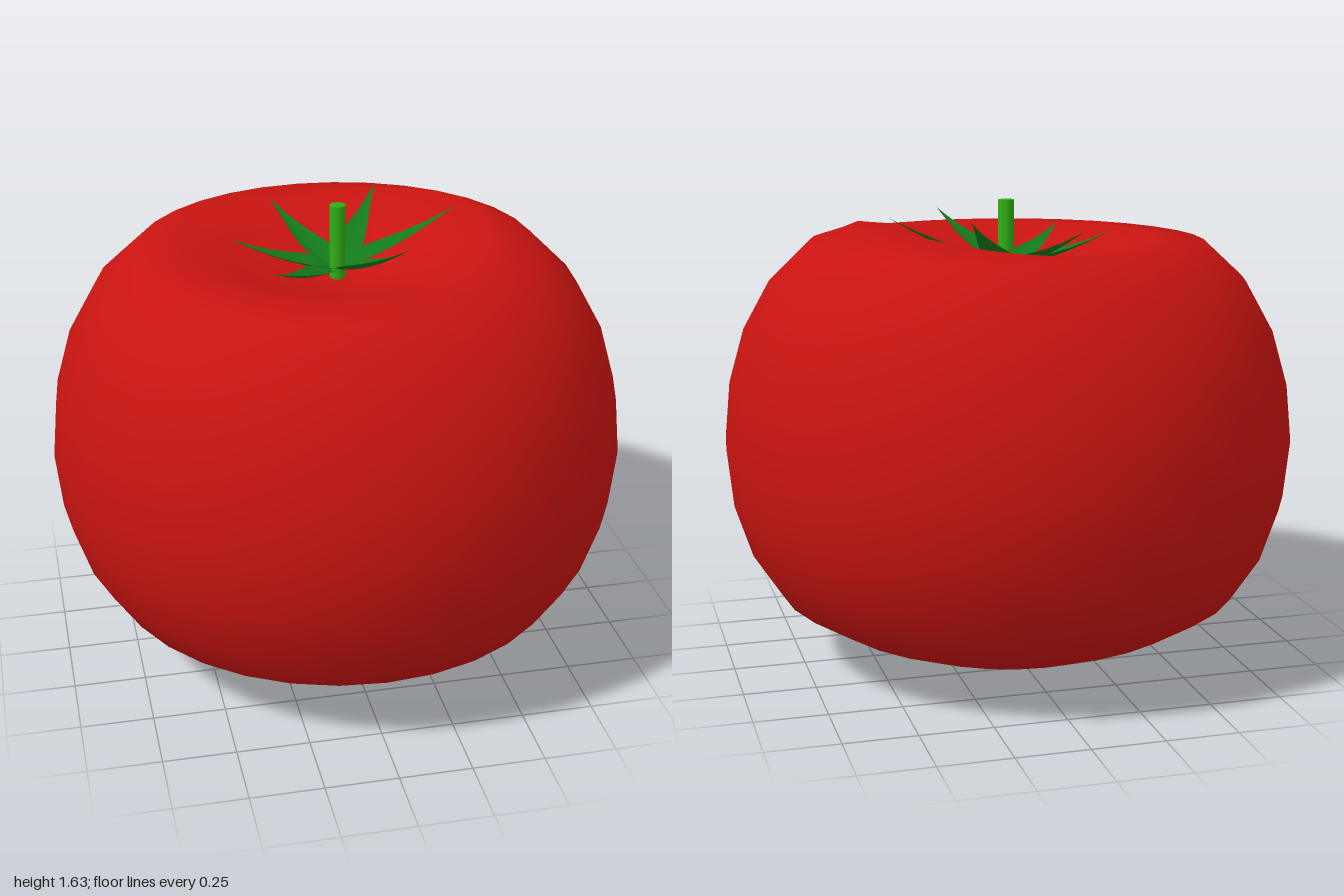
import * as THREE from 'three';
import { mergeVertices } from 'three/addons/utils/BufferGeometryUtils.js';

const material = (color) => new THREE.MeshStandardMaterial({ color, side: THREE.DoubleSide });

// Squat fruit: a lathed profile with a stem dimple and a raised shoulder near +x
function makeFruit() {
  const profile = [
    [0, 0.005], [0.18, 0.012], [0.34, 0.043], [0.5, 0.093], [0.66, 0.16],
    [0.82, 0.26], [0.92, 0.415], [0.98, 0.6], [1, 0.8], [0.98, 1], [0.925, 1.19],
    [0.83, 1.36], [0.69, 1.49], [0.52, 1.5], [0.37, 1.45], [0.2, 1.4], [0.1, 1.38], [0, 1.375],
  ].map(([r, y]) => new THREE.Vector2(r, y));
  let geometry = new THREE.LatheGeometry(profile, 32);
  geometry.deleteAttribute('normal');
  geometry.deleteAttribute('uv');
  geometry = mergeVertices(geometry, 1e-4);

  const p = geometry.attributes.position;
  for (let i = 0; i < p.count; i++) {
    const x = p.getX(i), y = p.getY(i), z = p.getZ(i);
    if (y < 1.37) continue;
    const facing = Math.max(0, Math.cos(Math.atan2(z, x) + 0.2));
    const rim = Math.max(0, 1 - Math.abs(Math.hypot(x, z) - 0.51) / 0.2);
    p.setY(i, y + 0.077 * facing ** 2 * rim);
  }
  geometry.computeVertexNormals();
  const fruit = new THREE.Mesh(geometry, material(0xc81410));
  fruit.name = 'fruit';
  return fruit;
}

// Pointed sepal: V-shaped cross-sections (edge, midrib, edge) from hub to tip
function makeSepal(hub, tip) {
  const sections = [[0, 0.022], [0.14, 0.042], [0.28, 0.054], [0.42, 0.046],
    [0.6, 0.031], [0.8, 0.014], [1, 0.001]];
  const across = new THREE.Vector3(tip.z - hub.z, 0, hub.x - tip.x).normalize();
  const positions = [], index = [];
  sections.forEach(([t, halfWidth], i) => {
    const mid = hub.clone().lerp(tip, t);
    mid.y -= 0.02 * Math.sin(Math.PI * t);
    for (const s of [-1, 0, 1]) {
      const v = mid.clone().addScaledVector(across, s * halfWidth);
      v.y += Math.abs(s) * halfWidth * 0.45;
      positions.push(v.x, v.y, v.z);
    }
    if (i === 0) return;
    for (let j = 0; j < 2; j++) {
      const a = (i - 1) * 3 + j, b = a + 3;
      index.push(a, b, a + 1, a + 1, b, b + 1);
    }
  });
  const geometry = new THREE.BufferGeometry();
  geometry.setAttribute('position', new THREE.Float32BufferAttribute(positions, 3));
  geometry.setIndex(index);
  geometry.computeVertexNormals();
  return new THREE.Mesh(geometry, material(0x137a1a));
}

export function createModel() {
  const model = new THREE.Group();
  model.name = 'tomato';
  model.add(makeFruit());

  // Six sepals spreading from the dimple
  const hub = new THREE.Vector3(0.01, 1.4, -0.018);
  const calyx = new THREE.Group();
  calyx.name = 'calyx';
  const tips = [[0.43, 1.585, -0.058], [0.21, 1.59, -0.33], [-0.16, 1.552, -0.36],
    [-0.35, 1.52, -0.07], [-0.26, 1.515, 0.27], [0.18, 1.578, 0.31]];
  tips.forEach((tip, i) => {
    const sepal = makeSepal(hub, new THREE.Vector3(...tip));
    sepal.name = `sepal${i + 1}`;
    calyx.add(sepal);
  });
  model.add(calyx);

  // Short upright stem
  const stem = new THREE.Mesh(new THREE.CylinderGeometry(0.028, 0.028, 0.265, 16), material(0x2fae14));
  stem.name = 'stem';
  stem.position.set(hub.x, 1.5025, hub.z);
  model.add(stem);

  return model;
}
